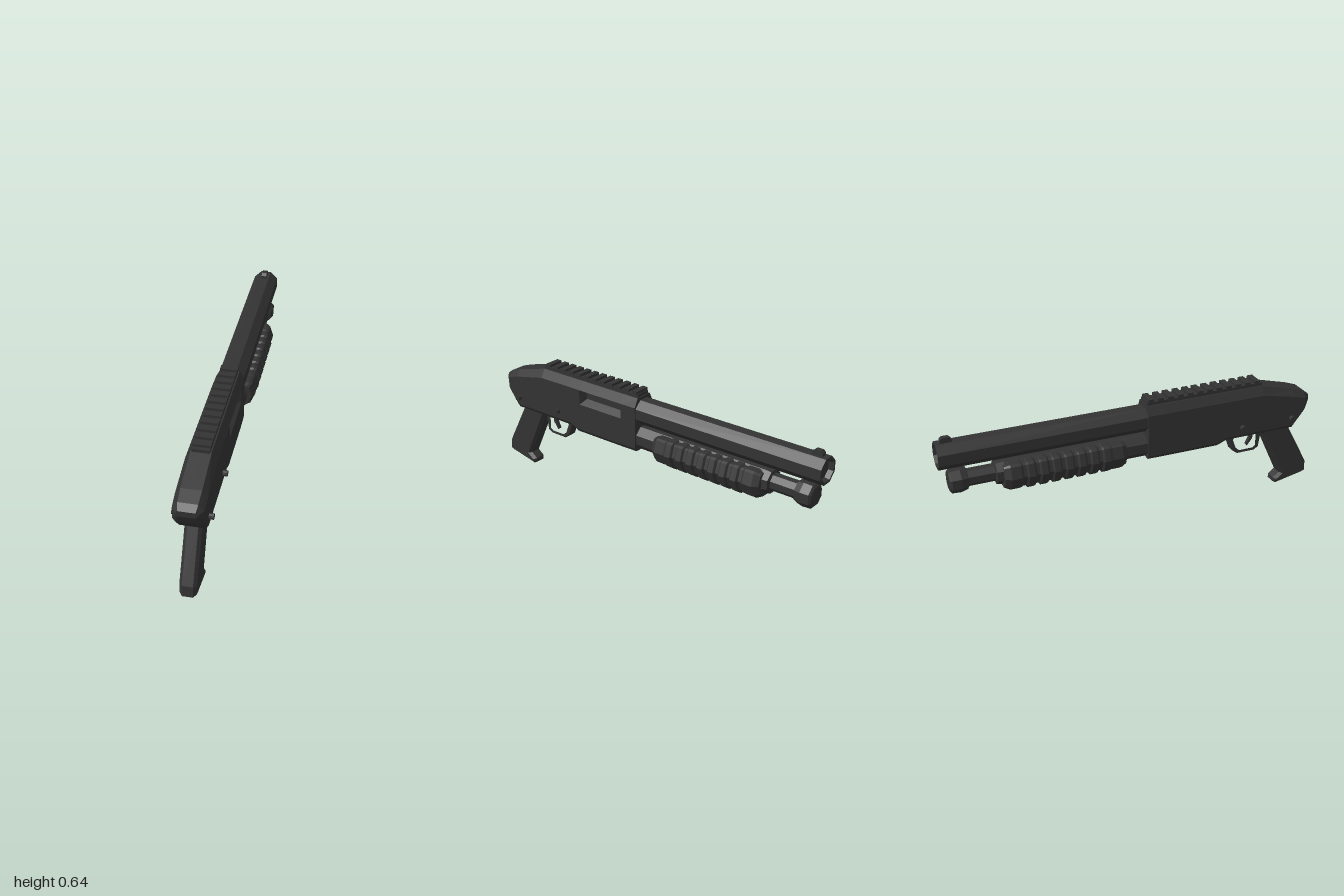
import * as THREE from 'three';

const gunmetal = new THREE.MeshStandardMaterial({ color: 0x333333 });
gunmetal.name = 'gunmetal';

// Unindexed copy with one normal per face
function faceted(geo) {
  const g = geo.index ? geo.toNonIndexed() : geo;
  g.computeVertexNormals();
  return g;
}

function part(group, name, geo) {
  const mesh = new THREE.Mesh(faceted(geo), gunmetal);
  mesh.name = name;
  group.add(mesh);
  return mesh;
}

function fromTriangles(points) {
  const g = new THREE.BufferGeometry();
  g.setAttribute('position', new THREE.Float32BufferAttribute(points.flat(), 3));
  return g;
}

const quad = (out, a, b, c, d) => out.push(a, b, c, a, c, d);

// Skin over rings of points; rings run along +z, clockwise seen from +z
function loft(rings, skip = () => false) {
  const out = [], n = rings[0].length, last = rings[rings.length - 1];
  for (let k = 0; k < rings.length - 1; k++) {
    for (let i = 0; i < n; i++) {
      if (skip(k, i)) continue;
      const j = (i + 1) % n;
      quad(out, rings[k][i], rings[k + 1][i], rings[k + 1][j], rings[k][j]);
    }
  }
  for (let i = 1; i < n - 1; i++) {
    out.push(rings[0][0], rings[0][i], rings[0][i + 1]);
    out.push(last[0], last[i + 1], last[i]);
  }
  return out;
}

// Mirrors the right half of a section to make a closed ring
function mirrorRing(half, z) {
  const right = half.map(([x, y]) => [x, y, z]);
  const left = half.map(([x, y]) => [-x, y, z]).reverse();
  return right.concat(left);
}

// Eight-sided turned part along z, profile of [radius to flat, z]
function turned(profile, y) {
  const k = 1 / Math.cos(Math.PI / 8);
  const pts = profile.map(([r, z]) => new THREE.Vector2(r * k, z));
  return new THREE.LatheGeometry(pts, 8, Math.PI / 8).rotateX(Math.PI / 2).translate(0, y, 0);
}

// Side profile of [z, y] points, extruded across x with chamfered edges
function sidePlate(points, width, bevel, hole) {
  const vec = (list) => list.map(([z, y]) => new THREE.Vector2(z, y));
  const shape = new THREE.Shape(vec(points));
  if (hole) shape.holes.push(new THREE.Path(vec(hole)));
  const g = new THREE.ExtrudeGeometry(shape, {
    depth: width - 2 * bevel, bevelEnabled: bevel > 0, bevelSize: bevel,
    bevelThickness: bevel, bevelOffset: -bevel, bevelSegments: 1, curveSegments: 6,
  });
  return g.translate(0, 0, bevel - width / 2).rotateY(-Math.PI / 2);
}

function receiver(group) {
  // z, bottom, top, shoulder height, half width, top half width
  const sections = [
    [0.04, 0.33, 0.615, 0.57, 0.07, 0.047],
    [0.13, 0.33, 0.615, 0.57, 0.072, 0.047],
    [0.41, 0.33, 0.615, 0.57, 0.072, 0.047],
    [0.43, 0.33, 0.615, 0.57, 0.072, 0.047],
    [0.48, 0.35, 0.615, 0.57, 0.072, 0.047],
    [0.68, 0.35, 0.615, 0.57, 0.072, 0.047],
    [0.87, 0.35, 0.565, 0.53, 0.072, 0.047],
    [0.935, 0.43, 0.543, 0.51, 0.07, 0.045],
    [0.965, 0.49, 0.52, 0.507, 0.048, 0.04],
  ];
  const rings = sections.map(([z, yb, yt, ys, w, tw]) => {
    const low = Math.min(yb + 0.018, ys - 0.004);
    const mid = Math.min(0.49, (ys + low) / 2 + 0.04);
    return mirrorRing([[tw, yt], [w, ys], [w, Math.min(mid, ys - 0.002)], [w, low], [w - 0.012, yb]], z);
  });
  const out = loft(rings, (k, i) => k === 1 && i === 1);
  // Ejection port recess
  const rim = [rings[1][1], rings[2][1], rings[2][2], rings[1][2]];
  const floor = [[0.035, 0.56, 0.15], [0.035, 0.56, 0.39], [0.035, 0.515, 0.39], [0.035, 0.515, 0.15]];
  for (let i = 0; i < 4; i++) {
    const j = (i + 1) % 4;
    quad(out, rim[i], rim[j], floor[j], floor[i]);
  }
  quad(out, ...floor);
  part(group, 'receiver', fromTriangles(out));
}

function foreEnd(group) {
  const half = [[0.07, 0.452], [0.084, 0.445], [0.103, 0.385], [0.078, 0.325], [0.042, 0.3]];
  const ring = (z, s) => mirrorRing(half.map(([x, y]) => [x * s, 0.39 + (y - 0.39) * s]), z);
  const rings = [ring(-0.7, 0.8), ring(-0.67, 0.97), ring(-0.62, 0.97)];
  // Raised grip ridges
  for (let i = 0; i < 7; i++) {
    const z = -0.61 + i * 0.064;
    rings.push(ring(z, 0.9), ring(z + 0.016, 0.9), ring(z + 0.024, 1.01), ring(z + 0.054, 1.01));
  }
  rings.push(ring(-0.16, 0.97), ring(-0.105, 0.97), ring(-0.08, 0.84));
  part(group, 'foreEnd', fromTriangles(loft(rings)));
}

export function createModel() {
  const model = new THREE.Group();
  model.name = 'pumpShotgun';
  receiver(model);
  foreEnd(model);

  // Barrel with shallow bore
  part(model, 'barrel', turned(
    [[0, -0.975], [0.048, -0.975], [0.052, -1], [0.064, -1], [0.064, 0.06]], 0.535));
  part(model, 'frontSight', sidePlate(
    [[-0.975, 0.59], [-0.92, 0.59], [-0.92, 0.612], [-0.935, 0.625], [-0.965, 0.625], [-0.975, 0.615]], 0.026, 0));

  // Magazine tube with collar and end cap
  part(model, 'magazineTube', turned([
    [0, -0.955], [0.046, -0.955], [0.058, -0.945], [0.06, -0.9], [0.052, -0.868], [0.04, -0.865],
    [0.04, -0.735], [0.056, -0.73], [0.06, -0.69], [0.06, 0.065]], 0.393));

  // Top rail with teeth
  const rail = new THREE.Group();
  rail.name = 'topRail';
  model.add(rail);
  part(rail, 'railBase', new THREE.BoxGeometry(0.08, 0.018, 0.64).translate(0, 0.622, 0.365));
  for (let i = 0; i < 12; i++) {
    part(rail, 'railTooth', new THREE.BoxGeometry(0.084, 0.016, 0.03).translate(0, 0.637, 0.065 + i * 0.0535));
  }

  // Pistol grip
  part(model, 'grip', sidePlate([
    [0.875, 0.37], [0.865, 0.345], [0.995, 0.105], [1.0, 0.045], [0.98, 0.037], [0.82, 0.004],
    [0.8, 0.015], [0.8, 0.038], [0.835, 0.065], [0.715, 0.32], [0.685, 0.37]], 0.08, 0.015));

  // Trigger guard and trigger
  part(model, 'triggerGuard', sidePlate(
    [[0.71, 0.36], [0.695, 0.25], [0.67, 0.235], [0.57, 0.235], [0.54, 0.258], [0.515, 0.325], [0.475, 0.36]],
    0.05, 0.004,
    [[0.678, 0.34], [0.68, 0.262], [0.66, 0.248], [0.578, 0.248], [0.556, 0.268], [0.535, 0.322], [0.55, 0.34]]));
  part(model, 'trigger', sidePlate(
    [[0.668, 0.36], [0.664, 0.3], [0.635, 0.262], [0.63, 0.268], [0.648, 0.305], [0.645, 0.36]], 0.02, 0));

  // Cross pins through the receiver
  for (const z of [0.565, 0.855]) {
    part(model, 'crossPin', new THREE.CylinderGeometry(0.014, 0.014, 0.188, 8)
      .rotateZ(Math.PI / 2).translate(0, 0.412, z));
  }
  return model;
}
